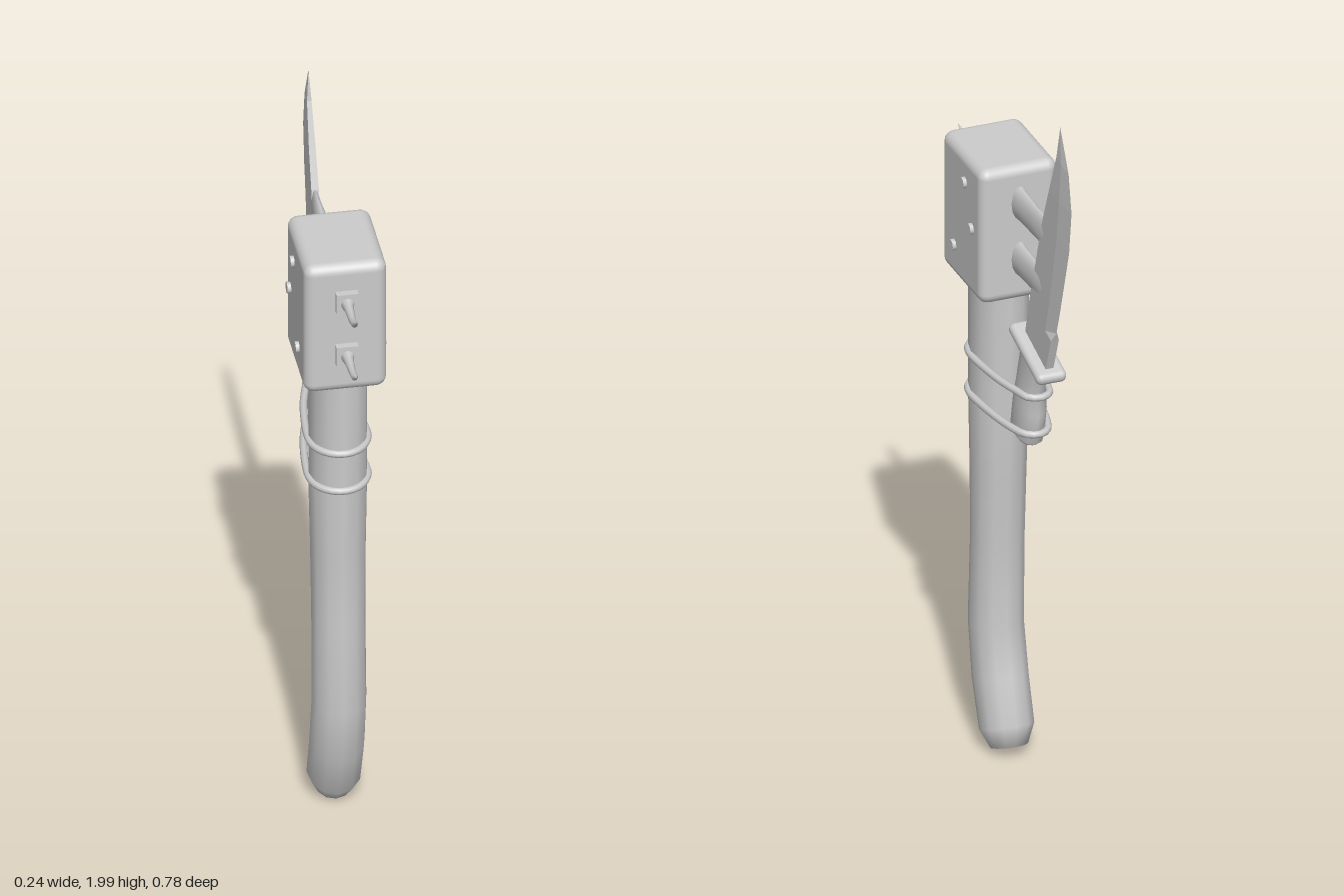
import * as THREE from 'three';
import { RoundedBoxGeometry } from 'three/addons/geometries/RoundedBoxGeometry.js';

const material = new THREE.MeshStandardMaterial({ color: 0xcccccc });

function add(parent, name, geometry, x = 0, y = 0, z = 0) {
  const mesh = new THREE.Mesh(geometry, material);
  mesh.name = name;
  mesh.position.set(x, y, z);
  parent.add(mesh);
  return mesh;
}

// Oval ring centred on the x = 0 plane; tilt 0 faces up, PI/2 faces -z, -PI/2 faces +z
function ovalRing([y, z, rx, r, tilt = 0], sides) {
  return Array.from({ length: sides }, (_, i) => {
    const a = (i / sides) * Math.PI * 2;
    const s = r * Math.sin(a);
    return [rx * Math.cos(a), y + s * Math.sin(tilt), z + s * Math.cos(tilt)];
  });
}

// Skin a list of closed rings that all have the same number of points
function skin(rings, flat = false) {
  const n = rings[0].length;
  const index = [];
  for (let i = 0; i < rings.length - 1; i++) {
    for (let j = 0; j < n; j++) {
      const a = i * n + j, b = i * n + (j + 1) % n;
      index.push(a, a + n, b, b, a + n, b + n);
    }
  }
  let geometry = new THREE.BufferGeometry();
  geometry.setAttribute('position', new THREE.Float32BufferAttribute(rings.flat(2), 3));
  geometry.setIndex(index);
  if (flat) geometry = geometry.toNonIndexed();
  geometry.computeVertexNormals();
  return geometry;
}

const loft = (stations, sides = 12) => skin(stations.map((s) => ovalRing(s, sides)));

export function createModel() {
  const model = new THREE.Group();
  model.name = 'spikedHammer';

  // Curved wooden handle, bottom to top
  add(model, 'handle', loft([
    [0.025, 0.04, 0, 0, -0.35],
    [0.025, 0.04, 0.05, 0.055, -0.35],
    [0.075, 0.055, 0.072, 0.08, -0.4],
    [0.2, 0.1, 0.073, 0.085, -0.35],
    [0.35, 0.13, 0.072, 0.08, -0.12],
    [0.6, 0.12, 0.071, 0.072, 0.04],
    [0.8, 0.115, 0.073, 0.08, 0.02],
    [1.0, 0.112, 0.077, 0.088],
    [1.4, 0.112, 0.077, 0.09],
  ]));

  // Block head
  add(model, 'head', new RoundedBoxGeometry(0.218, 0.39, 0.276, 3, 0.028), 0, 1.555, 0.1);

  // Bolt heads on both sides of the block
  for (const side of [-1, 1]) {
    for (const [y, z] of [[1.672, 0.074], [1.56, 0.026], [1.455, 0.148]]) {
      const bolt = add(model, 'bolt', new THREE.CylinderGeometry(0.016, 0.016, 0.03, 8), side * 0.104, y, z);
      bolt.rotation.z = Math.PI / 2;
    }
  }

  // Hooked spikes with square base plates on the front
  for (const [y, lift] of [[1.645, 1], [1.483, 0.7]]) {
    const spike = new THREE.Group();
    spike.name = 'spike';
    spike.position.y = y;
    add(spike, 'spikePlate', new THREE.BoxGeometry(0.058, 0.058, 0.03), 0, 0, 0.243);
    const t = -Math.PI / 2;
    add(spike, 'spikePoint', loft([
      [0, 0.25, 0.02, 0.02, t],
      [-0.002, 0.275, 0.013, 0.015, t],
      [-0.004 * lift, 0.325, 0.01, 0.013, t],
      [0.005 * lift, 0.36, 0.009, 0.01, t + 0.4],
      [0.027 * lift, 0.39, 0, 0, t + 0.6],
    ], 8));
    model.add(spike);
  }

  // Tapered struts joining the head to the blade
  for (const y of [1.645, 1.483]) {
    add(model, 'strut', loft([
      [y, -0.02, 0.026, 0.05, Math.PI / 2],
      [y, -0.06, 0.021, 0.046, Math.PI / 2],
      [y, -0.15, 0.016, 0.044, Math.PI / 2],
      [y, -0.23, 0.01, 0.046, Math.PI / 2],
      [y, -0.23, 0, 0, Math.PI / 2],
    ]));
  }

  // Knife blade: [spine z, spine y, edge z, edge y, bevel start, half thickness, edge half thickness]
  const blade = [
    [-0.095, 1.28, -0.235, 1.24, 0.75, 0.011, 0.011],
    [-0.127, 1.40, -0.28, 1.36, 0.73, 0.011, 0.011],
    [-0.135, 1.425, -0.29, 1.385, 0.72, 0.011, 0],
    [-0.16, 1.50, -0.316, 1.46, 0.7, 0.011, 0],
    [-0.22, 1.69, -0.378, 1.66, 0.6, 0.01, 0],
    [-0.26, 1.79, -0.395, 1.785, 0.52, 0.009, 0],
    [-0.305, 1.91, -0.375, 1.89, 0.45, 0.006, 0],
    [-0.317, 2.0, -0.317, 2.0, 0.5, 0, 0],
  ];
  add(model, 'blade', skin(blade.map(([sz, sy, ez, ey, f, w, e]) => {
    const my = sy + (ey - sy) * f, mz = sz + (ez - sz) * f;
    return [[w, my, mz], [w, sy, sz], [-w, sy, sz], [-w, my, mz], [-e, ey, ez], [e, ey, ez]];
  }), true));

  // Knife guard and grip
  const guard = add(model, 'guard', new RoundedBoxGeometry(0.084, 0.034, 0.222, 3, 0.016), 0, 1.268, -0.16);
  guard.rotation.x = -0.3;
  add(model, 'grip', loft([
    [0.99, -0.083, 0, 0, 0.28],
    [0.99, -0.083, 0.028, 0.042, 0.28],
    [1.01, -0.087, 0.04, 0.064, 0.28],
    [1.1, -0.106, 0.04, 0.065, 0.28],
    [1.16, -0.113, 0.036, 0.051, 0.28],
    [1.27, -0.15, 0.037, 0.056, 0.28],
  ]));

  // Cords binding the grip to the handle
  for (const [y, back] of [[1.145, -0.18], [1.03, -0.165]]) {
    const points = [];
    for (let i = 0; i <= 8; i++) {
      const a = (i / 8) * Math.PI;
      points.push(new THREE.Vector3(0.078 * Math.cos(a), y, 0.11 + 0.092 * Math.sin(a)));
    }
    const corners = [[-0.063, -0.04], [-0.042, -0.125], [-0.03, back + 0.015], [0, back],
      [0.03, back + 0.015], [0.042, -0.125], [0.063, -0.04]];
    for (const [x, z] of corners) points.push(new THREE.Vector3(x, y, z));
    const path = new THREE.CatmullRomCurve3(points, true);
    add(model, 'cord', new THREE.TubeGeometry(path, 48, 0.01, 8, true));
  }

  return model;
}
